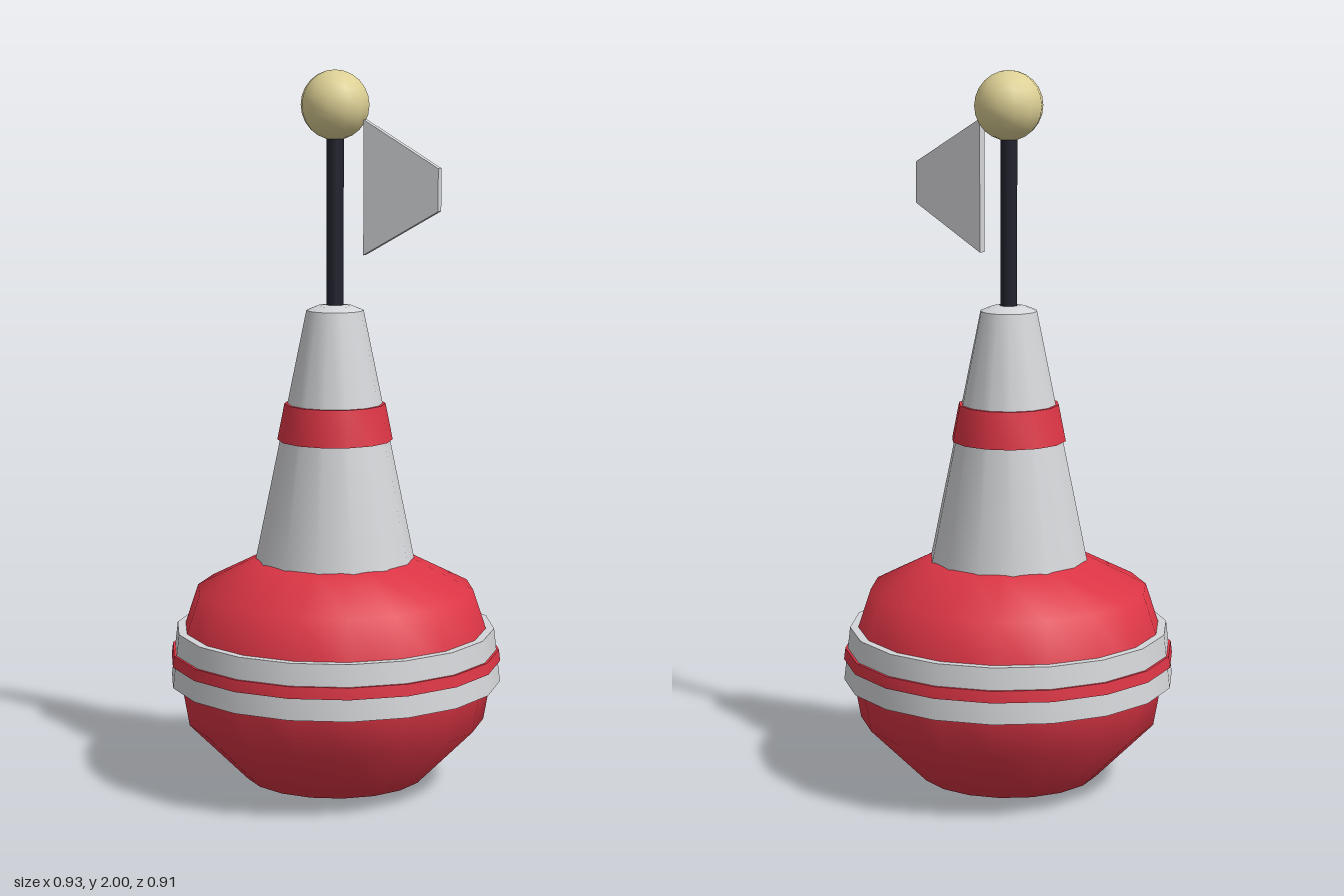
import * as THREE from 'three';
import { toCreasedNormals } from 'three/addons/utils/BufferGeometryUtils.js';

const mat = (name, color) => {
  const m = new THREE.MeshStandardMaterial({ color });
  m.name = name;
  return m;
};

export function createModel() {
  const red = mat('buoy red', 0xdc3545);
  const white = mat('light grey', 0xd4d5d8);
  const dark = mat('dark navy', 0x22222f);
  const brass = mat('pale yellow', 0xddd095);

  const model = new THREE.Group();
  model.name = 'buoy';

  const add = (name, geometry, material) => {
    const mesh = new THREE.Mesh(geometry, material);
    mesh.name = name;
    model.add(mesh);
    return mesh;
  };

  // Turned part with one corner on the x axis
  const turned = (name, profile, sides, material, creased = true) => {
    const points = profile.map(([r, y]) => new THREE.Vector2(r, y));
    let g = new THREE.LatheGeometry(points, sides);
    g.rotateY(Math.PI / 2);
    if (creased) g = toCreasedNormals(g, 0.7);
    return add(name, g, material);
  };

  // Closed sloping ring, given its bottom and top radius
  const ring = (name, r0, y0, r1, y1, depth, sides, material) =>
    turned(name, [
      [r0 - depth, y0], [r0, y0], [r1, y1], [r1 - depth, y1], [r0 - depth, y0],
    ], sides, material);

  // Round float
  turned('float', [
    [0, 0.003], [0.254, 0.03], [0.418, 0.195], [0.45, 0.375], [0.387, 0.565], [0.22, 0.65], [0, 0.68],
  ], 18, red, false);

  // Bumper band around the float with its stripe
  ring('bumperBand', 0.464, 0.305, 0.446, 0.456, 0.035, 18, white);
  ring('bumperStripe', 0.464, 0.364, 0.46, 0.396, 0.02, 18, red);

  // Tapered tower with a shallow domed top and a red collar
  turned('tower', [
    [0, 0.645], [0.222, 0.645], [0.079, 1.345], [0.05, 1.357], [0, 1.362],
  ], 14, white);
  ring('towerCollar', 0.16, 0.985, 0.14, 1.086, 0.03, 14, red);

  // Mast and ball
  const mast = new THREE.CylinderGeometry(0.024, 0.024, 0.5, 10);
  add('mast', mast, dark).position.y = 1.6;
  const ball = new THREE.SphereGeometry(0.095, 12, 12);
  ball.rotateY(Math.PI / 12);
  add('ball', ball, brass).position.y = 1.905;

  // Tapered flag
  const outline = new THREE.Shape([
    [0.09, 1.5], [0.31, 1.625], [0.31, 1.74], [0.09, 1.867],
  ].map(([x, y]) => new THREE.Vector2(x, y)));
  const flag = new THREE.ExtrudeGeometry(outline, { depth: 0.022, bevelEnabled: false });
  flag.translate(0, 0, -0.011);
  add('flag', flag, white);

  return model;
}
